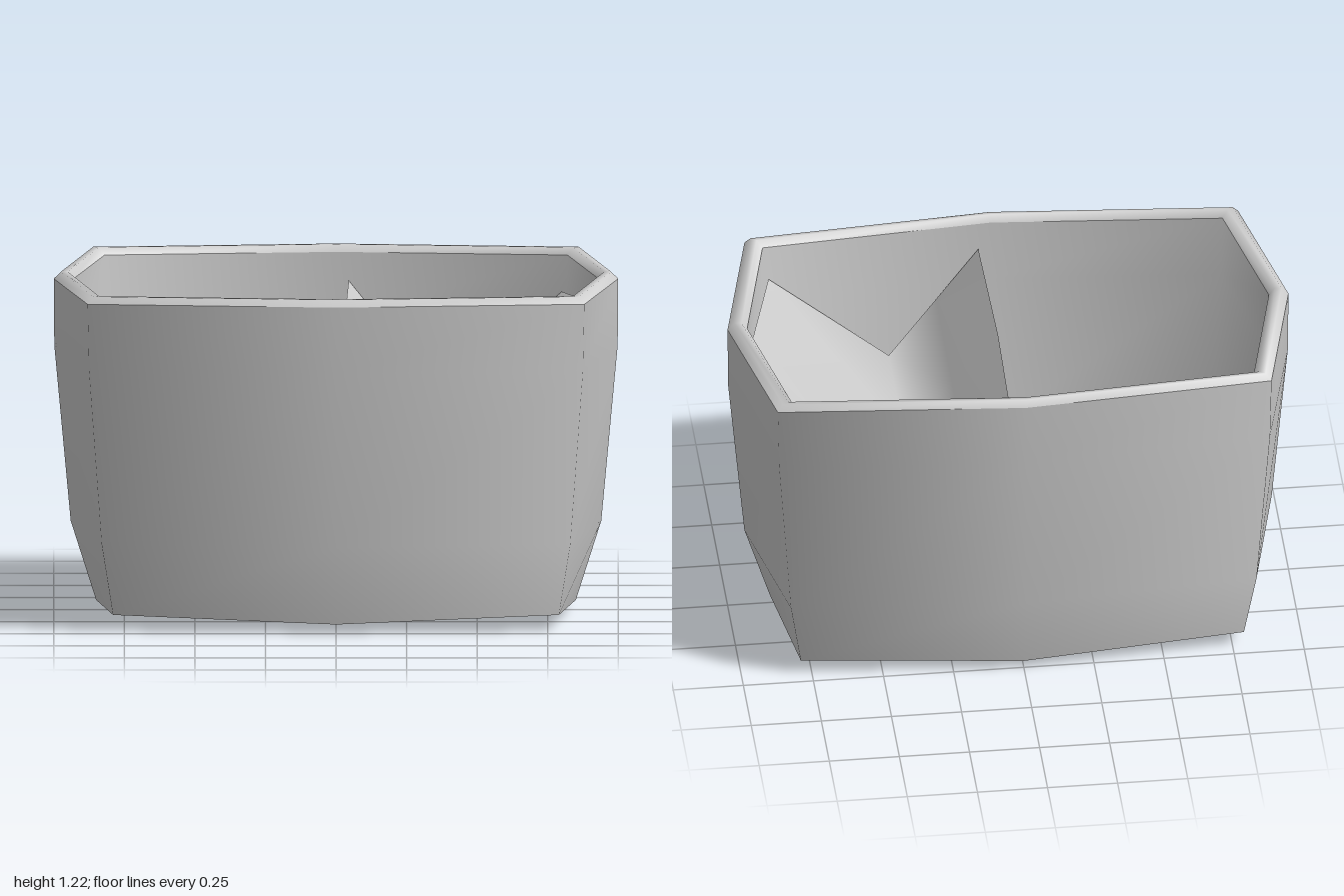
import * as THREE from 'three';
import { mergeVertices } from 'three/addons/utils/BufferGeometryUtils.js';

const material = new THREE.MeshStandardMaterial({ color: 0xcccccc });
const sheetMaterial = new THREE.MeshStandardMaterial({ color: 0xcccccc, side: THREE.DoubleSide });

// Smooth surface through rows of points; closed rows wrap around.
function loft(rows, closed) {
  const n = rows[0].length, index = [];
  for (let r = 0; r < rows.length - 1; r++) {
    for (let i = 0; i < (closed ? n : n - 1); i++) {
      const j = (i + 1) % n, a = r * n + i, b = r * n + j;
      index.push(a, a + n, b, b, a + n, b + n);
    }
  }
  const geometry = new THREE.BufferGeometry();
  geometry.setAttribute('position', new THREE.Float32BufferAttribute(rows.flat(2), 3));
  geometry.setIndex(index);
  const merged = mergeVertices(geometry, 1e-4);
  merged.computeVertexNormals();
  return merged;
}

// Eight-sided ring: x and z are the half axes, cx and cz the corners.
function ring(y, x, z, cx, cz, cornerY = y) {
  return [
    [x, y, 0], [cx, cornerY, cz], [0, y, z], [-cx, cornerY, cz],
    [-x, y, 0], [-cx, cornerY, -cz], [0, y, -z], [cx, cornerY, -cz],
  ];
}

export function createModel() {
  const model = new THREE.Group();
  const add = (name, geometry, mat = material) => {
    const mesh = new THREE.Mesh(geometry, mat);
    mesh.name = name;
    model.add(mesh);
  };

  const base = ring(0.035, 0.85, 0.51, 0.79, 0.455, 0.06);
  const outerTop = ring(1.19, 1, 0.6, 0.88, 0.53);
  const innerTop = ring(1.19, 0.93, 0.555, 0.82, 0.49);

  // Tapered outer wall
  add('outerWall', loft([
    base,
    ring(0.32, 0.94, 0.565, 0.83, 0.5),
    ring(0.95, 0.998, 0.597, 0.875, 0.527),
    outerTop,
  ], true));

  // Shallow pointed underside
  add('underside', loft([ring(0, 0, 0, 0, 0), base], true));

  // Bevelled rim
  add('rim', loft([
    outerTop,
    ring(1.215, 0.975, 0.585, 0.86, 0.518),
    ring(1.215, 0.95, 0.57, 0.84, 0.504),
    innerTop,
  ], true));

  // Hollow interior with its floor
  add('innerWall', loft([
    innerTop,
    ring(0.95, 0.93, 0.552, 0.815, 0.485),
    ring(0.33, 0.88, 0.525, 0.775, 0.46),
    ring(0.08, 0.8, 0.47, 0.74, 0.42, 0.1),
    ring(0.05, 0, 0, 0, 0),
  ], true));

  // Bent divider sheet: [x, y, half depth, x at middle, y at middle]
  const profile = [
    [0.045, 1.09, 0.54, 0.035, 1.09],
    [0.2, 0.9, 0.515, 0.2, 0.9],
    [0.37, 0.69, 0.49, 0.37, 0.69],
    [0.8, 1.06, 0.48, 0.92, 1.1],
  ];
  add('divider', loft(profile.map(([x, y, z, mx, my]) =>
    [[x, y, -z], [mx, my, 0], [x, y, z]].reverse()), false), sheetMaterial);

  return model;
}
